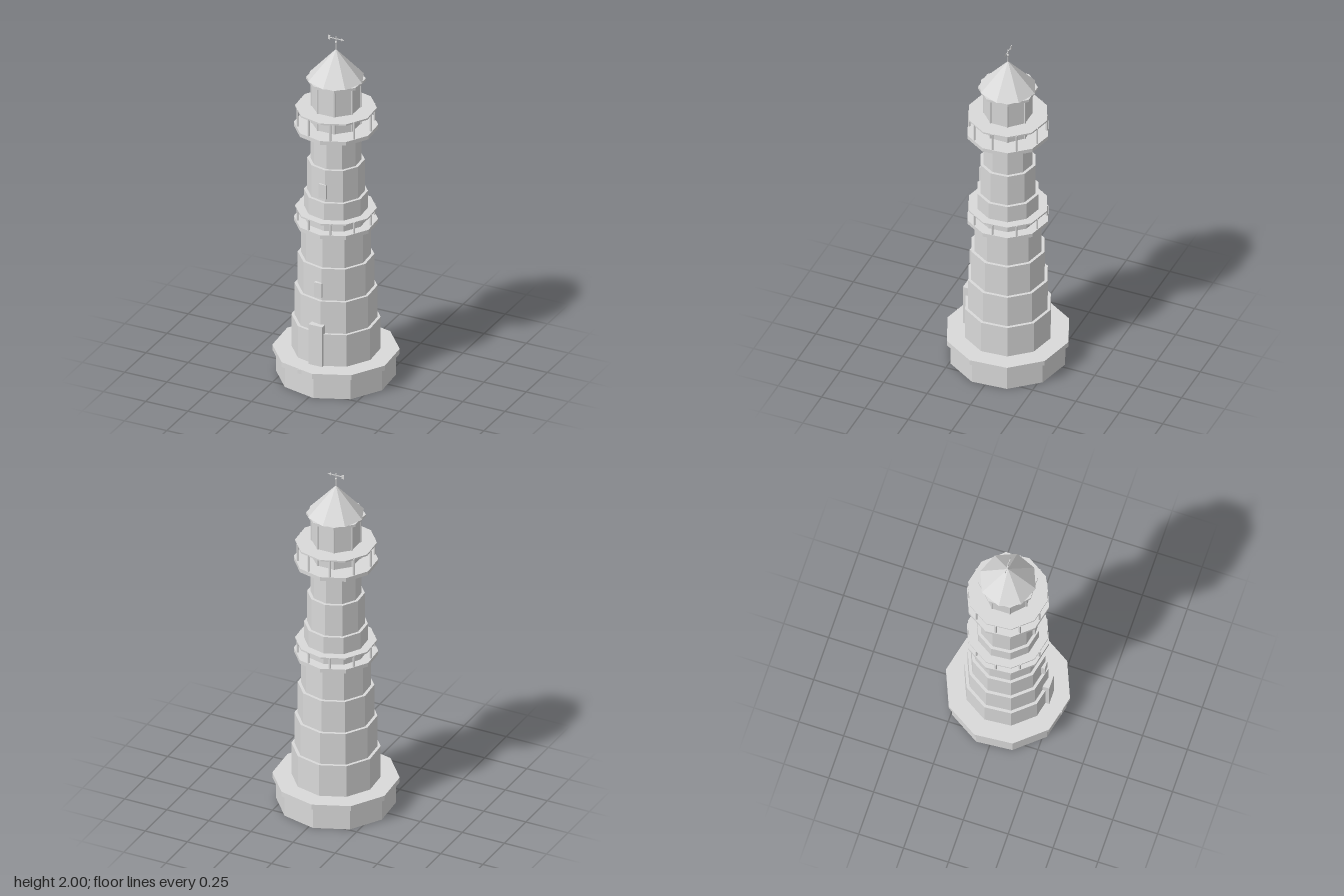
import * as THREE from 'three';

const stone = new THREE.MeshStandardMaterial({ color: 0xd9d9d9, flatShading: true, side: THREE.DoubleSide });
stone.name = 'pale grey stone';

const TURN = THREE.MathUtils.degToRad(4.5); // rotation of the ten-sided parts
const EIGHTH = Math.PI / 8;

export function createModel() {
  const model = new THREE.Group();
  model.name = 'lighthouse';

  const add = (name, geometry, x = 0, y = 0, z = 0, parent = model) => {
    const mesh = new THREE.Mesh(geometry, stone);
    mesh.name = name;
    mesh.position.set(x, y, z);
    parent.add(mesh);
    return mesh;
  };

  // upright prism between two heights
  const prism = (name, r, y0, y1, sides = 10, turn = TURN, parent = model, open = false) =>
    add(name, new THREE.CylinderGeometry(r, r, y1 - y0, sides, 1, open, turn), 0, (y0 + y1) / 2, 0, parent);

  // ring of thin upright posts
  const posts = (name, count, turn, ring, r, y0, y1, parent) => {
    for (let i = 0; i < count; i++) {
      const a = turn + (i * 2 * Math.PI) / count;
      const post = prism(name, r, y0, y1, 6, 0, parent);
      post.position.x = Math.sin(a) * ring;
      post.position.z = Math.cos(a) * ring;
    }
  };

  // box given by its limits
  const box = (name, x0, x1, y0, y1, z0, z1, parent = model) =>
    add(name, new THREE.BoxGeometry(x1 - x0, y1 - y0, z1 - z0),
      (x0 + x1) / 2, (y0 + y1) / 2, (z0 + z1) / 2, parent);

  // hollow foundation, slab and doorstep
  prism('foundationWall', 0.319, 0, 0.124, 10, TURN, model, true);
  prism('foundationSlab', 0.338, 0.124, 0.153);
  box('doorstep', -0.068, 0.068, 0.126, 0.15, 0.2, 0.32);

  // stepped tower
  const tower = new THREE.Group();
  tower.name = 'tower';
  model.add(tower);
  const height = (1.463 - 0.153) / 7;
  for (let i = 0; i < 7; i++) {
    const y = 0.153 + i * height;
    prism('towerSection', 0.237 - i * 0.0168, y, y + height, 10, TURN, tower);
  }

  // door and windows
  box('door', -0.04, 0.04, 0.153, 0.39, 0.2, 0.243);
  box('lowerWindow', -0.024, 0.021, 0.545, 0.63, 0.17, 0.213);
  box('upperWindow', -0.024, 0.021, 1.108, 1.19, 0.12, 0.158);

  // galleries: floor, ten posts, top plate
  const gallery = (name, y0, y1) => {
    const group = new THREE.Group();
    group.name = name;
    model.add(group);
    prism('galleryFloor', 0.224, y0, y0 + 0.022, 10, TURN, group);
    prism('galleryTop', 0.217, y1 - 0.009, y1, 10, TURN, group);
    posts('galleryPost', 10, Math.PI / 10, 0.206, 0.006, y0 + 0.02, y1 - 0.002, group);
  };
  gallery('lowerGallery', 0.902, 0.989);
  gallery('upperGallery', 1.463, 1.586);

  // lantern room with corner bars, then the roof
  const lantern = new THREE.Group();
  lantern.name = 'lantern';
  model.add(lantern);
  prism('lanternRoom', 0.13, 1.463, 1.745, 8, EIGHTH, lantern);
  posts('lanternBar', 8, EIGHTH, 0.128, 0.006, 1.484, 1.745, lantern);
  prism('eaves', 0.158, 1.742, 1.757, 8, EIGHTH);
  add('roof', new THREE.ConeGeometry(0.155, 0.17, 8), 0, 1.842, 0);

  // weather vane
  const vane = new THREE.Group();
  vane.name = 'weatherVane';
  model.add(vane);
  prism('vanePole', 0.0035, 1.915, 2, 6, 0, vane);
  add('vaneKnob', new THREE.SphereGeometry(0.007, 8, 6), 0, 1.967, 0, vane);
  box('vaneArm', -0.045, 0.035, 1.986, 1.99, -0.0015, 0.0015, vane);
  box('vaneTail', -0.047, -0.034, 1.976, 2, -0.0015, 0.0015, vane);
  const tip = add('vaneTip', new THREE.ConeGeometry(0.009, 0.02, 4), 0.04, 1.988, 0, vane);
  tip.rotation.z = -Math.PI / 2;
  tip.scale.z = 0.18;

  return model;
}
